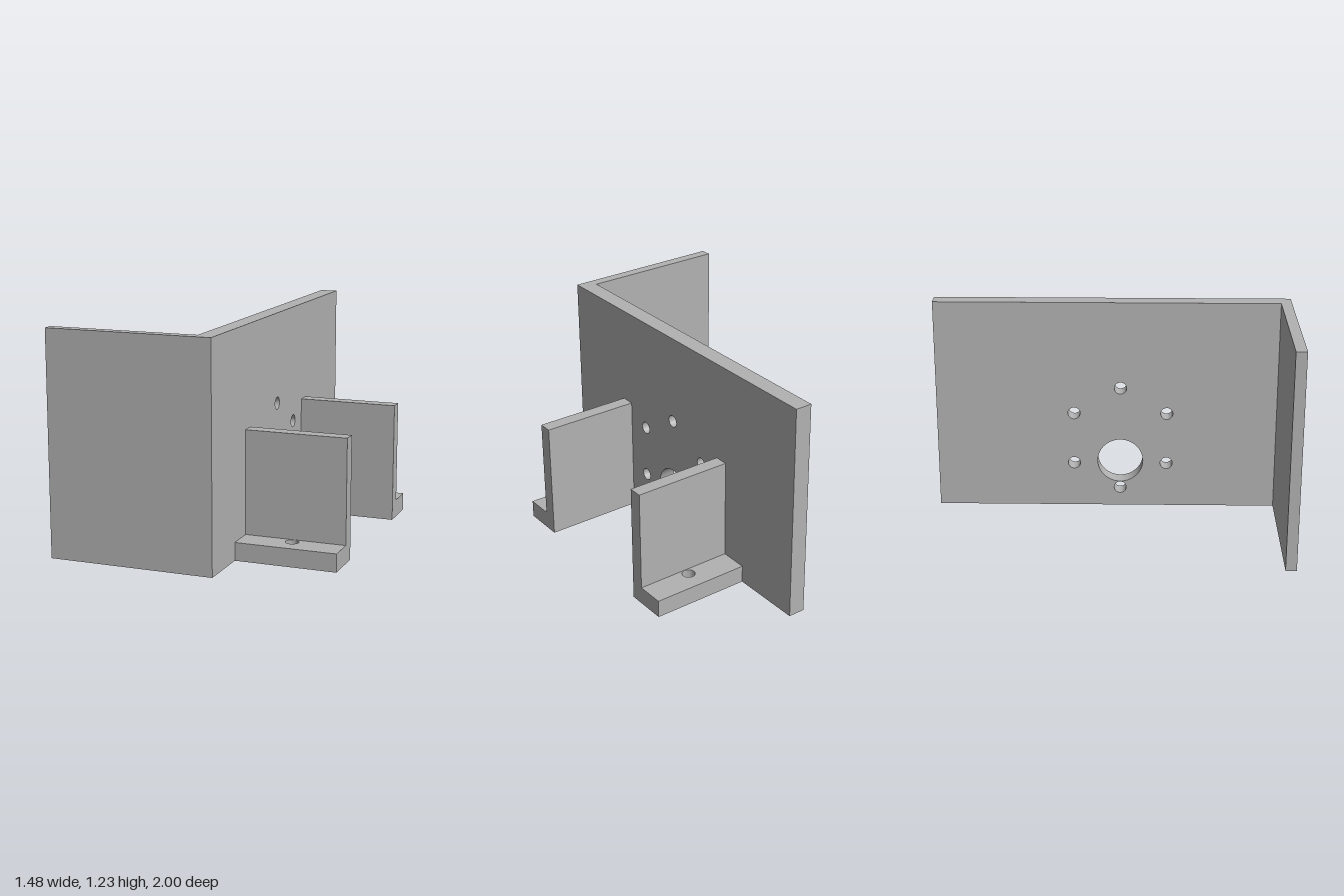
import * as THREE from 'three';
import { toCreasedNormals } from 'three/addons/utils/BufferGeometryUtils.js';

const HEIGHT = 1.23;
const FACE_X = 0.18;   // outer face of the main plate
const CENTRE_Z = 0.05; // middle of the hole pattern and brackets

// Rectangle with round holes, extruded along +z; holes are [x, y, radius]
function drilledPlate(x0, x1, y0, y1, depth, holes) {
  const shape = new THREE.Shape([
    new THREE.Vector2(x0, y0), new THREE.Vector2(x1, y0),
    new THREE.Vector2(x1, y1), new THREE.Vector2(x0, y1),
  ]);
  for (const [x, y, r] of holes) {
    shape.holes.push(new THREE.Path().absarc(x, y, r, 0, Math.PI * 2, true));
  }
  return new THREE.ExtrudeGeometry(shape, { depth, bevelEnabled: false, curveSegments: 24 });
}

// Box given by its minimum and maximum on each axis
function boxBetween(x0, x1, y0, y1, z0, z1) {
  return new THREE.BoxGeometry(x1 - x0, y1 - y0, z1 - z0)
    .translate((x0 + x1) / 2, (y0 + y1) / 2, (z0 + z1) / 2);
}

export function createModel() {
  const model = new THREE.Group();
  model.name = 'motorMountBracket';
  const grey = new THREE.MeshStandardMaterial({ color: 0xb2b2b2 });
  grey.name = 'plain grey';

  const add = (parent, name, geometry) => {
    const mesh = new THREE.Mesh(geometry, grey);
    mesh.name = name;
    parent.add(mesh);
  };

  // Main plate: shaft opening and a ring of six screw holes
  const holes = [[CENTRE_Z, 0.28, 0.13]];
  for (let i = 0; i < 6; i++) {
    const a = Math.PI / 2 + i * Math.PI / 3;
    holes.push([CENTRE_Z + 0.306 * Math.cos(a), 0.418 + 0.306 * Math.sin(a), 0.035]);
  }
  const plate = drilledPlate(-1, 1, 0, HEIGHT, 0.095, holes)
    .rotateY(-Math.PI / 2).translate(FACE_X, 0, 0);
  add(model, 'mainPlate', toCreasedNormals(plate, 0.6));

  // Front flange
  add(model, 'frontFlange', boxBetween(-0.74, FACE_X - 0.095, 0, HEIGHT, 0.94, 1));

  // Two L-shaped brackets, feet pointing away from each other
  for (const side of [1, -1]) {
    const bracket = new THREE.Group();
    bracket.name = side > 0 ? 'frontBracket' : 'rearBracket';
    const z = (offset) => CENTRE_Z + side * offset;
    const span = (a, b) => [Math.min(z(a), z(b)), Math.max(z(a), z(b))];

    add(bracket, 'bracketWall', boxBetween(FACE_X, 0.74, 0, 0.673, ...span(0.407, 0.485)));

    // Foot with its bolt hole
    const [z0, z1] = span(0.485, 0.642);
    const foot = drilledPlate(FACE_X, 0.74, -z1, -z0, 0.1, [[0.457, -z(0.524), 0.036]])
      .rotateX(-Math.PI / 2);
    add(bracket, 'bracketFoot', toCreasedNormals(foot, 0.6));
    model.add(bracket);
  }
  return model;
}
